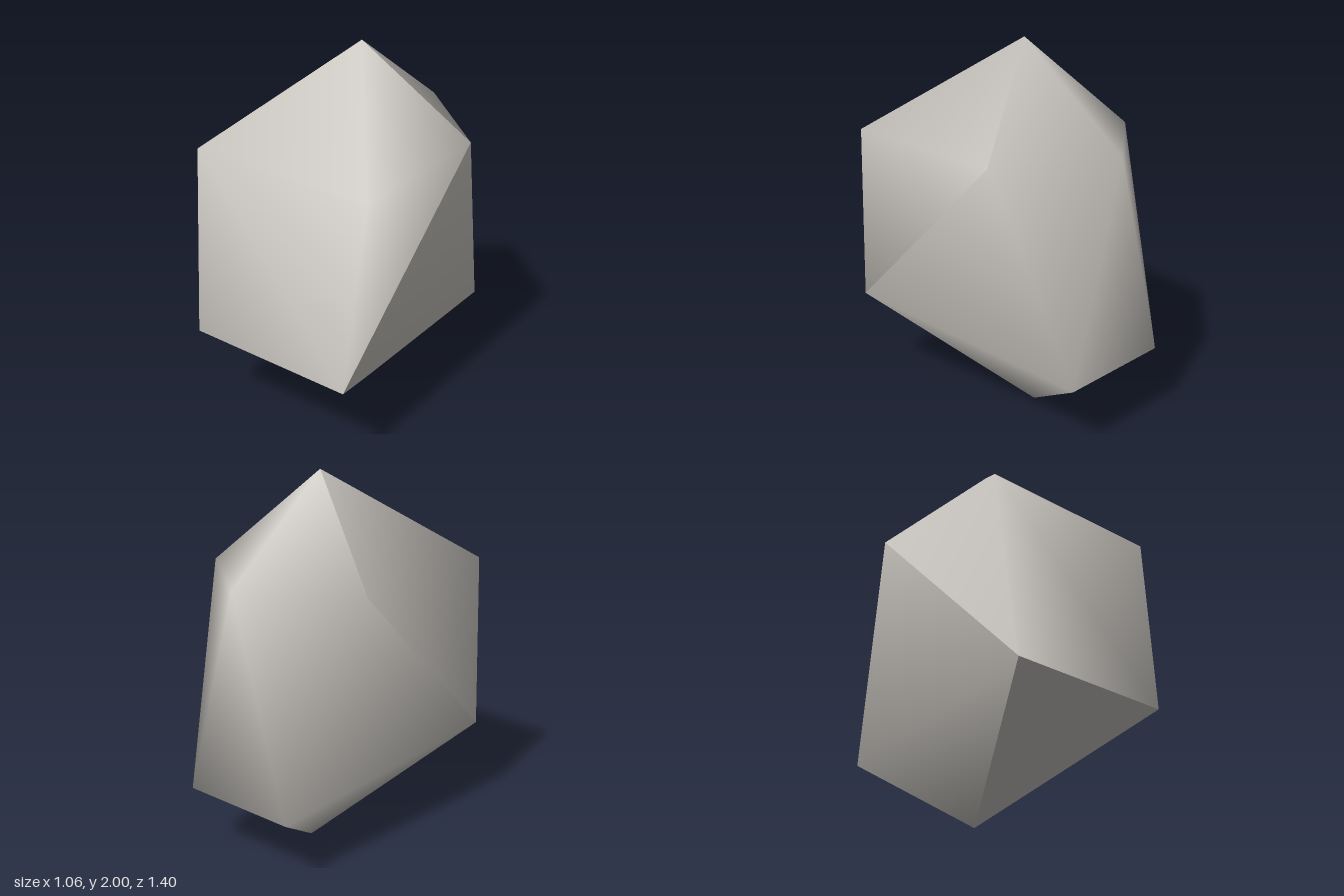
import * as THREE from 'three';

// Corners of the faceted boulder
const P = {
  top: [0, 2, -0.055],
  frontUpR: [-0.53, 1.5, 0.59], frontUpL: [0.53, 1.5, 0.59],
  frontLowR: [-0.487, 0.515, 0.7], frontLowL: [0.467, 0.515, 0.7],
  sideR: [-0.5, 1.5, -0.3], sideL: [0.5, 1.5, -0.3],
  backUp: [0, 1.53, -0.7],
  backLowR: [-0.32, 0.395, -0.7], backLowL: [0.32, 0.395, -0.7],
  bottom: [0, 0, -0.135],
};

// One smooth shell; corners are shared inside it, so only its rim stays sharp
function shell(name, faces, material) {
  const names = [...new Set(faces.flat())];
  const geometry = new THREE.BufferGeometry();
  geometry.setAttribute('position', new THREE.Float32BufferAttribute(names.flatMap(n => P[n]), 3));
  geometry.setIndex(faces.flat().map(n => names.indexOf(n)));
  geometry.computeVertexNormals();
  const mesh = new THREE.Mesh(geometry, material);
  mesh.name = name;
  return mesh;
}

export function createModel() {
  const stone = new THREE.MeshStandardMaterial({ color: 0xd0ccc6 });
  stone.name = 'pale stone';
  const rock = new THREE.Group();
  rock.name = 'rock';

  // Front shell, from the peak down to the lower front edge
  rock.add(shell('frontShell', [
    ['top', 'frontUpR', 'frontUpL'],
    ['top', 'frontUpL', 'sideL'], ['top', 'sideR', 'frontUpR'],
    ['frontUpR', 'frontLowR', 'frontLowL'], ['frontUpR', 'frontLowL', 'frontUpL'],
    ['sideL', 'frontUpL', 'frontLowL'], ['sideR', 'frontLowR', 'frontUpR'],
  ], stone));

  // Flat facet under the front
  rock.add(shell('undersideFacet', [['frontLowR', 'bottom', 'frontLowL']], stone));

  // Back shell, wrapping the sides, back and underside
  rock.add(shell('backShell', [
    ['top', 'sideL', 'backUp'], ['top', 'backUp', 'sideR'],
    ['sideL', 'frontLowL', 'backLowL'], ['sideR', 'backLowR', 'frontLowR'],
    ['sideL', 'backLowL', 'backUp'], ['sideR', 'backUp', 'backLowR'],
    ['backUp', 'backLowL', 'backLowR'],
    ['frontLowL', 'bottom', 'backLowL'], ['frontLowR', 'backLowR', 'bottom'],
    ['backLowL', 'bottom', 'backLowR'],
  ], stone));

  return rock;
}
